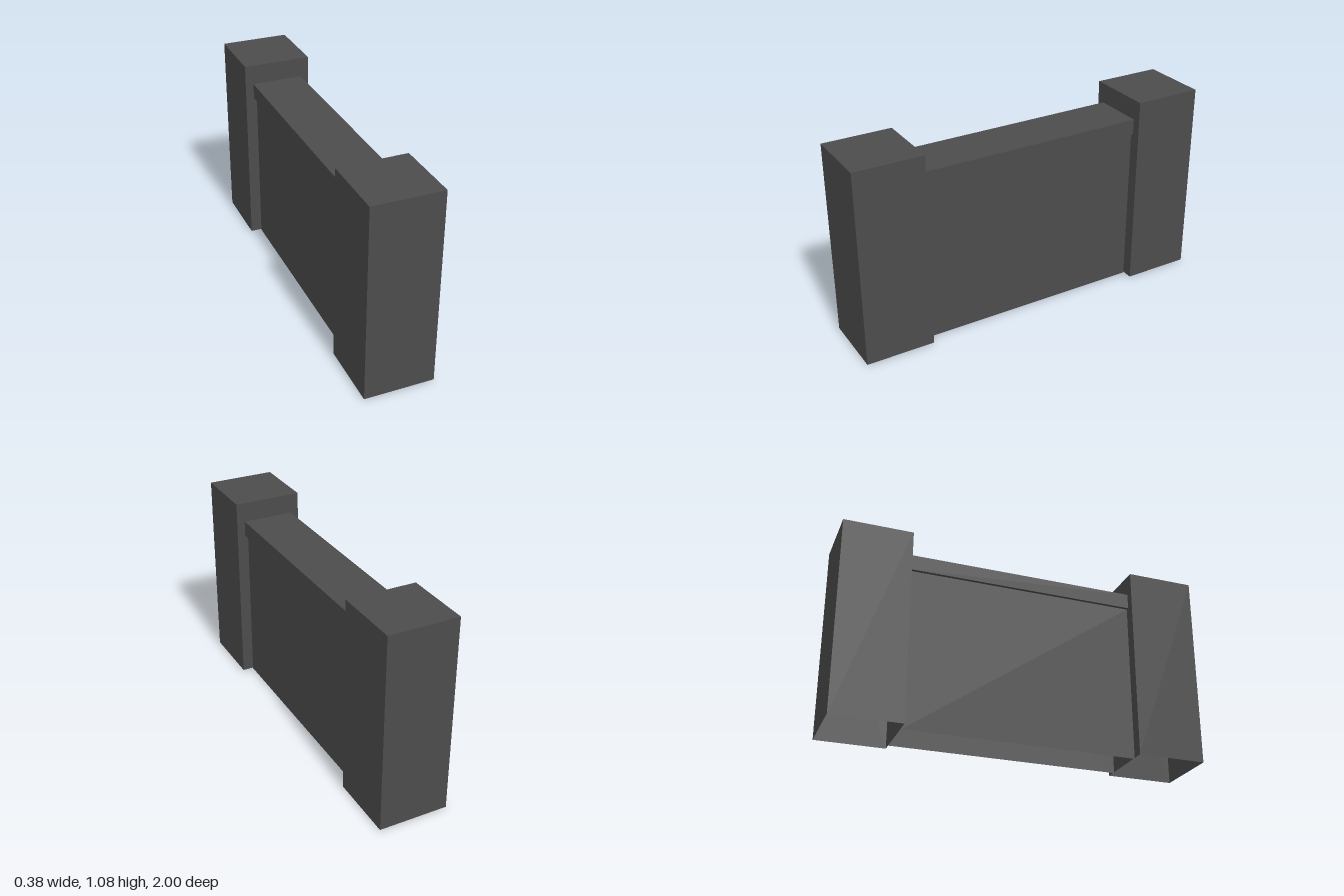
import * as THREE from 'three';

const stone = new THREE.MeshStandardMaterial({ color: 0x4c4c4c, side: THREE.DoubleSide });
stone.name = 'dark stone';

// Face order in a box: 0 +x, 1 -x, 2 +y, 3 -y, 4 +z, 5 -z
function block(name, width, bottom, top, depth, z, openFaces = []) {
  const geometry = new THREE.BoxGeometry(width, top - bottom, depth);
  const index = Array.from(geometry.index.array);
  geometry.setIndex(index.filter((_, i) => !openFaces.includes(Math.floor(i / 6))));
  geometry.clearGroups();
  const mesh = new THREE.Mesh(geometry, stone);
  mesh.name = name;
  mesh.position.set(0, (bottom + top) / 2, z);
  return mesh;
}

export function createModel() {
  const model = new THREE.Group();
  model.name = 'low wall';

  // Square end posts, hollow and open underneath
  for (const side of [1, -1]) {
    const name = side > 0 ? 'frontPost' : 'backPost';
    model.add(block(name, 0.375, 0.005, 1.075, 0.373, side * 0.8135, [3]));
  }

  // Thin wall between the posts: two side faces only, closed by cap and posts
  model.add(block('wallPanel', 0.25, 0, 0.88, 1.254, 0, [2, 3, 4, 5]));

  // Coping with a slight overhang
  model.add(block('coping', 0.284, 0.88, 0.965, 1.254, 0, [4, 5]));

  return model;
}
